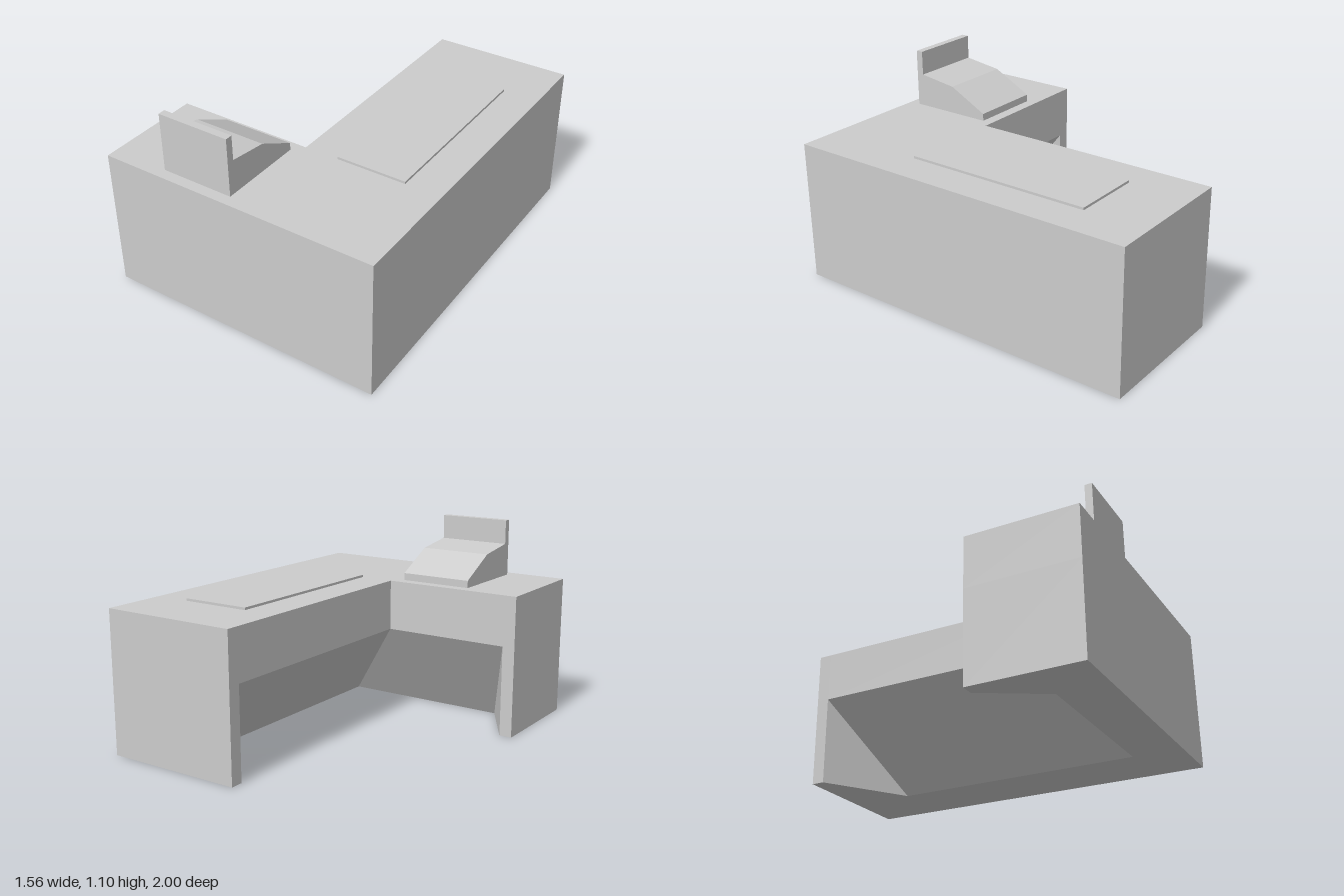
import * as THREE from 'three';

const material = new THREE.MeshStandardMaterial({ color: 0xcccccc, flatShading: true });

function addMesh(group, name, geometry) {
  const mesh = new THREE.Mesh(geometry, material);
  mesh.name = name;
  group.add(mesh);
  return mesh;
}

// L-shaped counter lofted from outlines [x, z], with a sloping hollow on the inner side
function counterGeometry() {
  const floor = [[-0.78, 1], [0.78, 1], [0.78, -1], [0, -1], [0, -0.93],
    [0.44, -0.65], [0.44, 0.73], [-0.51, 0.73], [-0.71, 0.4], [-0.78, 0.4]];
  const apron = floor.map((p) => [...p]);
  apron[5] = [0, -0.93]; // the hollow closes to the inner edge of the apron
  apron[6] = [0, 0.4];
  apron[7] = [-0.71, 0.4];
  const sections = [[floor, 0], [apron, 0.5], [apron, 0.78]]
    .map(([outline, y]) => outline.map(([x, z]) => new THREE.Vector3(x, y, z)));
  const positions = [];

  const triangle = (a, b, c) => {
    const area = b.clone().sub(a).cross(c.clone().sub(a)).length();
    if (area > 1e-6) for (const p of [a, b, c]) positions.push(p.x, p.y, p.z);
  };

  // Walls between neighbouring sections
  for (let s = 0; s < sections.length - 1; s++) {
    const low = sections[s], high = sections[s + 1];
    for (let i = 0; i < low.length; i++) {
      const j = (i + 1) % low.length;
      triangle(low[i], low[j], high[j]);
      triangle(low[i], high[j], high[i]);
    }
  }

  // Flat caps, turned to face up or down
  const cap = (points, up) => {
    const flat = points.map((p) => new THREE.Vector2(p.x, p.z));
    for (const [i, j, k] of THREE.ShapeUtils.triangulateShape(flat, [])) {
      const [a, b, c] = [points[i], points[j], points[k]];
      const normalY = b.clone().sub(a).cross(c.clone().sub(a)).y;
      if (normalY * up > 0) triangle(a, b, c);
      else triangle(a, c, b);
    }
  };
  cap(sections[0], -1);
  cap([0, 1, 2, 3, 6, 9].map((i) => sections[2][i]), 1);

  const geometry = new THREE.BufferGeometry();
  geometry.setAttribute('position', new THREE.Float32BufferAttribute(positions, 3));
  geometry.computeVertexNormals();
  return geometry;
}

// Side profile [z, y] extruded along x
function registerGeometry() {
  const profile = [[0.46, 0.78], [0.94, 0.78], [0.94, 1.1], [0.9, 1.1],
    [0.9, 0.965], [0.68, 0.935], [0.46, 0.82]];
  const shape = new THREE.Shape(profile.map(([z, y]) => new THREE.Vector2(z, y)));
  return new THREE.ExtrudeGeometry(shape, { depth: 0.405, bevelEnabled: false })
    .rotateY(-Math.PI / 2)
    .translate(-0.053, 0, 0);
}

export function createModel() {
  const model = new THREE.Group();
  model.name = 'checkoutCounter';

  addMesh(model, 'counter', counterGeometry());
  addMesh(model, 'cashRegister', registerGeometry());

  // Thin raised mat on the long arm
  const mat = addMesh(model, 'counterMat', new THREE.BoxGeometry(0.39, 0.013, 1.05));
  mat.position.set(0.385, 0.7865, -0.125);

  return model;
}
